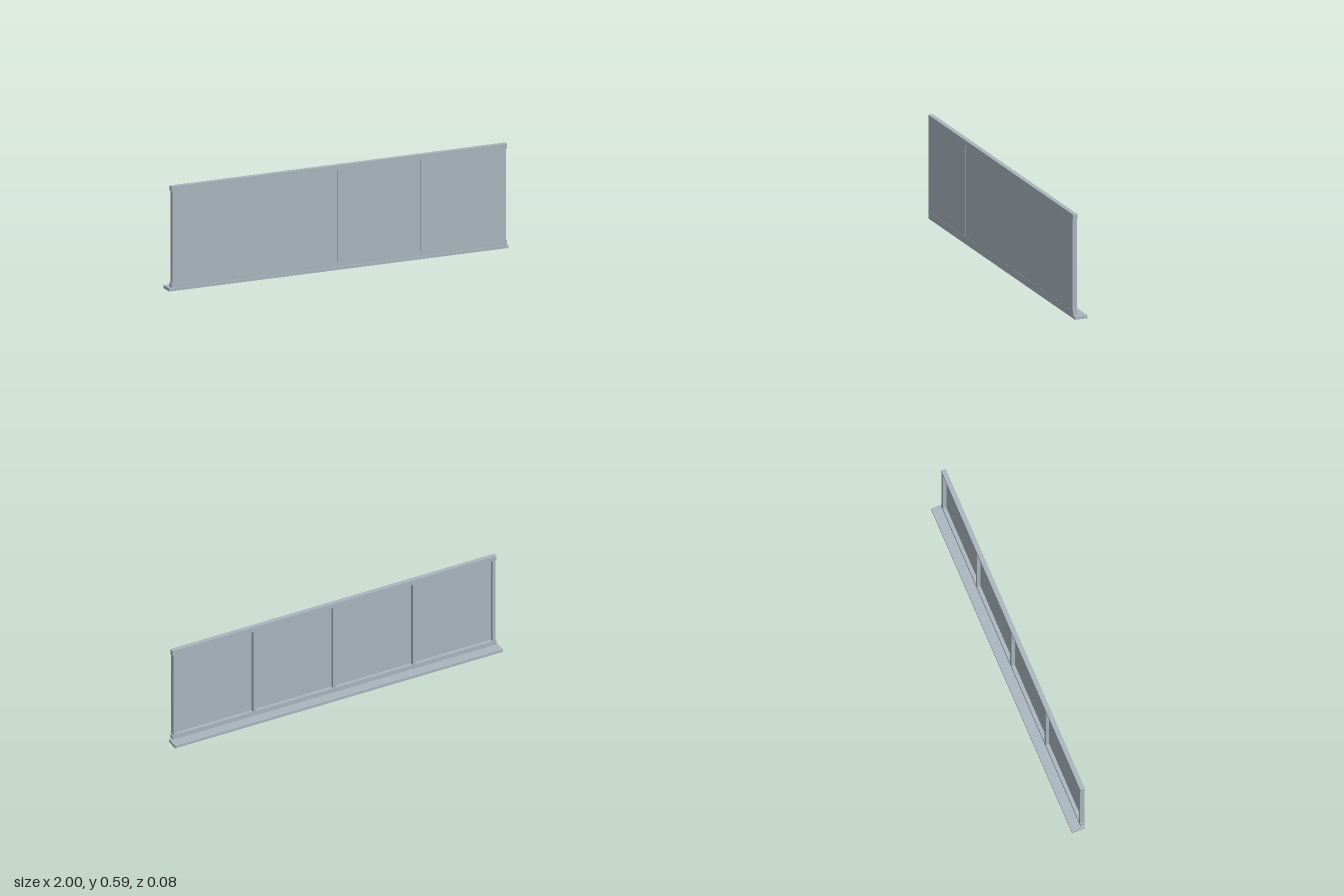
import * as THREE from 'three';

export function createModel() {
  const model = new THREE.Group();
  const metal = new THREE.MeshStandardMaterial({ color: 0xa8b4bd });
  metal.name = 'blueGreyMetal';

  // Box given by its limits on each axis
  function box(name, [x0, x1], [y0, y1], [z0, z1]) {
    const mesh = new THREE.Mesh(new THREE.BoxGeometry(x1 - x0, y1 - y0, z1 - z0), metal);
    mesh.name = name;
    mesh.position.set((x0 + x1) / 2, (y0 + y1) / 2, (z0 + z1) / 2);
    model.add(mesh);
  }

  const frameZ = [0.015, 0.041];
  const bottom = 0.02, top = 0.588, rail = 0.027;
  const postWidth = 0.018, spacing = 0.4865, bays = 4;
  const innerY = [bottom + rail, top - rail];

  // Ledge lying under and behind the frame
  box('ledge', [-1, 1], [0, 0.016], [-0.039, 0.035]);

  // Rails, slightly longer than the row of posts
  box('bottomRail', [-0.988, 0.988], [bottom, innerY[0]], frameZ);
  box('topRail', [-0.988, 0.988], [innerY[1], top], frameZ);

  // Posts, with a thin panel near the front of each bay
  for (let i = 0; i <= bays; i++) {
    const x = (i - bays / 2) * spacing;
    box('post', [x - postWidth / 2, x + postWidth / 2], innerY, frameZ);
    if (i < bays) {
      box('panel', [x + postWidth / 2, x + spacing - postWidth / 2], innerY, [0.035, 0.04]);
    }
  }
  return model;
}
